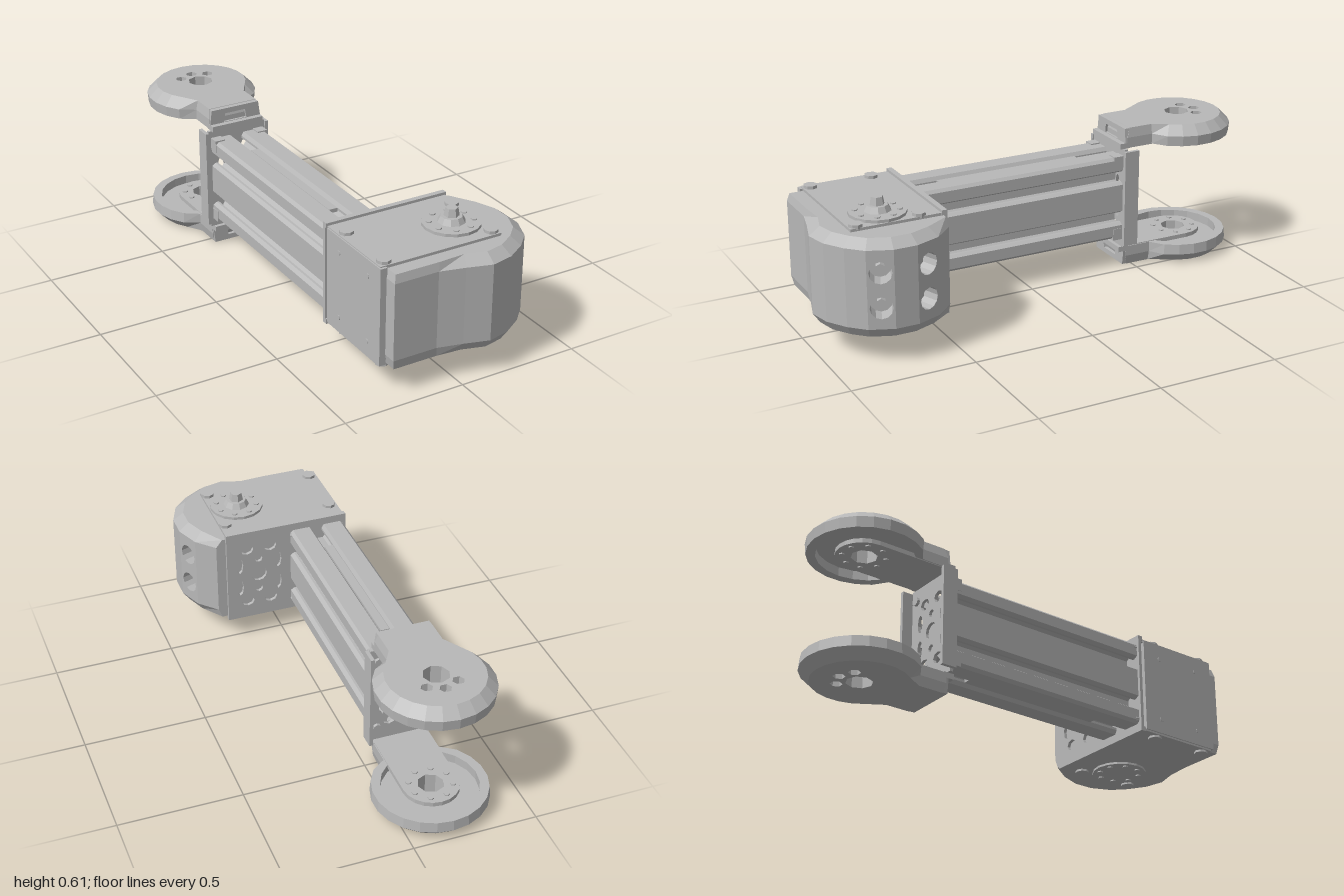
import * as THREE from 'three';

const grey = new THREE.MeshStandardMaterial({ color: 0xb8b8b8, side: THREE.DoubleSide });
grey.name = 'machined grey';

// Faceted mesh with a part name
function add(parent, name, geo, x = 0, y = 0, z = 0) {
  const g = geo.index ? geo.toNonIndexed() : geo;
  g.computeVertexNormals();
  const m = new THREE.Mesh(g, grey);
  m.name = name;
  m.position.set(x, y, z);
  parent.add(m);
  return m;
}

// Box given by its limits
function box(parent, name, x0, x1, y0, y1, z0, z1) {
  return add(parent, name, new THREE.BoxGeometry(x1 - x0, y1 - y0, z1 - z0), (x0 + x1) / 2, (y0 + y1) / 2, (z0 + z1) / 2);
}

const disc = (r, h, n = 12, r2 = r) => new THREE.CylinderGeometry(r2, r, h, n);
const circle = (x, y, r, n = 12, ry = r) =>
  Array.from({ length: n }, (_, i) => [x + r * Math.cos(i / n * 2 * Math.PI), y + ry * Math.sin(i / n * 2 * Math.PI)]);
const rect = (x0, x1, y0, y1) => [[x0, y0], [x1, y0], [x1, y1], [x0, y1]];

function shape(pts, holes = []) {
  const v = list => list.map(p => new THREE.Vector2(p[0], p[1]));
  const s = new THREE.Shape(v(pts));
  for (const h of holes) s.holes.push(new THREE.Path(v(h)));
  return s;
}

// Flat horizontal face; plan points are (x, z)
function cap(parent, name, pts, y, up, holes = []) {
  const flip = l => l.map(([x, z]) => [x, -z]);
  const g = new THREE.ShapeGeometry(shape(flip(pts), holes.map(flip))).rotateX(-Math.PI / 2).toNonIndexed();
  if (!up) {
    const p = g.attributes.position;
    for (let i = 0; i < p.count; i += 3) {
      const a = new THREE.Vector3().fromBufferAttribute(p, i), b = new THREE.Vector3().fromBufferAttribute(p, i + 1);
      p.setXYZ(i, b.x, b.y, b.z);
      p.setXYZ(i + 1, a.x, a.y, a.z);
    }
  }
  return add(parent, name, g, 0, y, 0);
}

// Walls between two plan outlines at two heights
function wall(parent, name, lo, y0, hi, y1, skip = []) {
  const v = [];
  lo.forEach((a, i) => {
    if (skip.includes(i)) return;
    const j = (i + 1) % lo.length, b = lo[j], c = hi[j], d = hi[i];
    v.push(a[0], y0, a[1], b[0], y0, b[1], c[0], y1, c[1], a[0], y0, a[1], c[0], y1, c[1], d[0], y1, d[1]);
  });
  const g = new THREE.BufferGeometry();
  g.setAttribute('position', new THREE.Float32BufferAttribute(v, 3));
  return add(parent, name, g);
}

// Upright plate with cutouts, thickness along z
function plate(parent, name, pts, holes, z, depth) {
  return add(parent, name, new THREE.ExtrudeGeometry(shape(pts, holes), { depth, bevelEnabled: false }), 0, 0, z);
}

// Cutouts of a mounting plate: centre bore, side slots and corner windows
function cutouts(cx, w) {
  const holes = [circle(cx, .305, .035)];
  for (const s of [-1, 1]) {
    holes.push(circle(cx, .305 + s * .075, .016, 8));
    for (const t of [-1, 1]) {
      holes.push(circle(cx + s * w, .305 + t * .055, .016, 8, .04));
      holes.push(circle(cx + s * w * .6, .305 + t * .13, .028, 8, .024));
    }
  }
  return holes;
}

// Motor housing: rounded cover, drilled wall, plates and output discs
function housing() {
  const g = new THREE.Group();
  g.name = 'motorHousing';
  const plan = [[-.265, .5], [-.265, .94], [-.08, .94], [.02, .965], [.12, .995], [.21, .975], [.29, .925],
    [.35, .865], [.388, .77], [.388, .675], [.35, .575], [.28, .5]];
  const inset = k => plan.map(([x, z]) => [x < 0 ? x + .008 : .12 + (x - .12) * k, z < .51 ? z : .72 + (z - .72) * (x < 0 ? .96 : k)]);
  const top = inset(.84), bottom = inset(.9), y0 = .15, y1 = .465;
  wall(g, 'coverWall', plan, y0, plan, y1, [7, 9]);
  wall(g, 'coverTopBevel', plan, y1, top, .498);
  wall(g, 'coverBottomBevel', bottom, .11, plan, y0);
  cap(g, 'coverTop', top, .498, true);
  cap(g, 'coverBottom', bottom, .11, false);

  // Drilled wall facets with sunken screws
  for (const i of [7, 9]) {
    const [ax, az] = plan[i], [bx, bz] = plan[i + 1], w = Math.hypot(bx - ax, bz - az);
    const facet = new THREE.Group();
    facet.name = 'drilledFacet';
    facet.position.set(ax, y0, az);
    facet.rotation.y = Math.atan2(az - bz, bx - ax);
    const ys = [.235 - y0, .375 - y0];
    add(facet, 'facet', new THREE.ShapeGeometry(shape(rect(0, w, 0, y1 - y0), ys.map(y => circle(w / 2, y, .044)))));
    for (const y of ys) {
      add(facet, 'boreWall', new THREE.CylinderGeometry(.044, .044, .07, 12, 1, true).rotateX(Math.PI / 2), w / 2, y, -.035);
      add(facet, 'boreFloor', new THREE.CircleGeometry(.044, 12), w / 2, y, -.07);
      add(facet, 'boreScrew', disc(.018, .025, 6).rotateX(Math.PI / 2), w / 2, y, -.058);
    }
    g.add(facet);
  }

  // Servo frame: side panel, top and bottom plates
  box(g, 'sidePanel', -.29, -.262, .108, .505, .515, .885);
  for (const y of [.17, .44]) for (const z of [.6, .8])
    add(g, 'panelScrew', disc(.01, .004, 8).rotateZ(Math.PI / 2), -.291, y, z);
  box(g, 'topPlate', -.285, .235, .496, .509, .5, .875);
  box(g, 'bottomPlate', -.285, .235, .1, .113, .5, .875);
  for (const [y, s] of [[.512, 1], [.1, -1]]) {
    for (const x of [-.253, .21]) for (const z of [.59, .845])
      add(g, 'cornerScrew', disc(.028, .018, 8), x, y, z);
    add(g, 'outputDisc', disc(.113, .018, 16), .12, y, .72);
    for (let i = 0; i < 8; i++) {
      const a = (i + .5) * Math.PI / 4;
      add(g, 'discScrew', disc(.012, .008, 6), .12 + .085 * Math.cos(a), y + s * .01, .72 + .085 * Math.sin(a));
    }
  }
  add(g, 'hub', disc(.055, .024, 10, .042), .12, .532, .72);
  add(g, 'hubScrew', disc(.03, .032, 6, .024), .12, .56, .72);

  // Mounting plate between housing and beam, with folded top and bottom edges
  plate(g, 'mountPlate', rect(-.29, .24, .1, .512), cutouts(.1, .085), .486, .014);
  for (const y of [.104, .51]) box(g, 'mountLip', -.29, .24, y - .01, y + .01, .486, .508);
  for (const x of [-.262, -.058]) for (const y of [.148, .468])
    add(g, 'mountScrew', disc(.018, .016, 8).rotateX(Math.PI / 2), x, y, .479);
  return g;
}

// Beam with T-slots: one each on top and bottom, two on either side
function beam(g) {
  const slot = [[.032, 0], [.022, .016], [.022, .026], [.05, .026], [.05, .038], [.028, .063]];
  const lower = [...slot].reverse().map(([a, d]) => [a, .128 + d]);
  const upper = slot.map(([a, d]) => [a, .488 - d]);
  const side = yc => [...slot.map(([a, d]) => [.118 - d, yc - a]), ...[...slot].reverse().map(([a, d]) => [.118 - d, yc + a])];
  const half = [...lower, [.106, .128], [.118, .14], ...side(.218), ...side(.398), [.118, .476], [.106, .488], ...upper];
  const pts = [...half, ...[...half].reverse().map(([x, y]) => [-x, y])].map(([x, y]) => [x - .16, y]);
  plate(g, 'beam', pts, [], -.45, .936);
  for (const y of [.468, .148]) box(g, 'slotStrip', -.178, -.142, y - .008, y + .008, -.29, .34);
}

// Bracket closing the beam's rear end
function rearBracket() {
  const g = new THREE.Group();
  g.name = 'rearBracket';
  plate(g, 'endPlate', rect(-.29, -.03, .088, .522), cutouts(-.16, .075), -.462, .014);
  for (const x of [-.305, -.03]) box(g, 'sideFlange', x, x + .015, .1, .515, -.508, -.443);
  for (const x of [-.258, -.062]) for (const y of [.148, .468]) {
    add(g, 'beamScrew', disc(.018, .014, 8).rotateX(Math.PI / 2), x, y, -.467);
    box(g, 'cornerBlock', x - .022, x + .022, y - .025, y + .025, -.45, -.405);
  }
  return g;
}

// Upper fork arm, outer side up, with its bore on x = 0
function forkArm() {
  const g = new THREE.Group();
  g.name = 'forkArm';
  const plan = (r, neck, end) => {
    const pts = [[-neck, -.45 - end], [-neck, -.585]];
    for (let i = 0; i <= 16; i++) {
      const a = Math.PI * (.78 + i / 16 * 1.44);
      pts.push([r * Math.cos(a), -.77 + r * Math.sin(a)]);
    }
    pts.push([neck, -.585], [neck, -.45 - end]);
    return pts.reverse();
  };
  const rim = plan(.226, .116, .018), mid = plan(.23, .116, .018), top = plan(.19, .108, .03);
  const bore = circle(0, -.775, .052, 8), recess = circle(0, -.77, .19, 20);
  const pockets = [[-.062, -.835], [0, -.862], [.062, -.835]].map(([x, z]) => circle(x, z, .024, 6));
  wall(g, 'armRim', rim, .525, mid, .568);
  wall(g, 'armBevel', mid, .568, top, .608);
  cap(g, 'armOuterFace', top, .608, true, [bore, ...pockets]);
  cap(g, 'armInnerFace', rim, .525, false, [recess]);
  wall(g, 'recessWall', recess, .525, recess, .562);
  cap(g, 'recessFloor', recess, .562, false, [bore]);
  wall(g, 'boreWall', bore, .562, bore, .608);
  for (const p of pockets) {
    wall(g, 'pocketWall', p, .575, p, .608);
    cap(g, 'pocketFloor', p, .575, true);
  }
  // Round-ended bracket tongue carrying the arm, with screws around the bore
  const tongue = [[.112, -.455], [-.112, -.455]];
  for (let i = 0; i <= 10; i++) {
    const a = Math.PI * (1 + i / 10);
    tongue.push([.112 * Math.cos(a), -.775 + .112 * Math.sin(a)]);
  }
  tongue.reverse();
  cap(g, 'tongueFace', tongue, .522, false, [bore]);
  wall(g, 'tongueEdge', tongue, .522, tongue, .54);
  cap(g, 'tongueBack', tongue, .54, true, [bore]);
  wall(g, 'tongueBore', bore, .522, bore, .562);
  for (let i = 0; i < 8; i++) {
    const a = (i + .5) * Math.PI / 4;
    add(g, 'tongueScrew', disc(.012, .008, 6), .085 * Math.cos(a), .521, -.775 + .085 * Math.sin(a));
  }
  // Neck front with a notch
  plate(g, 'neckFront', [[-.116, .545], [.116, .545], [.108, .606], [-.108, .606]],
    [[[-.052, .547], [.052, .547], [.046, .584], [-.046, .584]]], -.48, .022);
  box(g, 'neckFoot', -.116, .116, .522, .545, -.48, -.435);
  return g;
}

export function createModel() {
  const model = new THREE.Group();
  model.name = 'roboticArmLink';
  model.add(housing());
  beam(model);
  model.add(rearBracket());
  // Lower arm is the upper one turned half round the beam axis
  for (const lower of [false, true]) {
    const arm = forkArm();
    arm.name = lower ? 'lowerForkArm' : 'upperForkArm';
    arm.position.set(-.16, lower ? .608 : 0, 0);
    arm.rotation.z = lower ? Math.PI : 0;
    model.add(arm);
  }
  return model;
}
